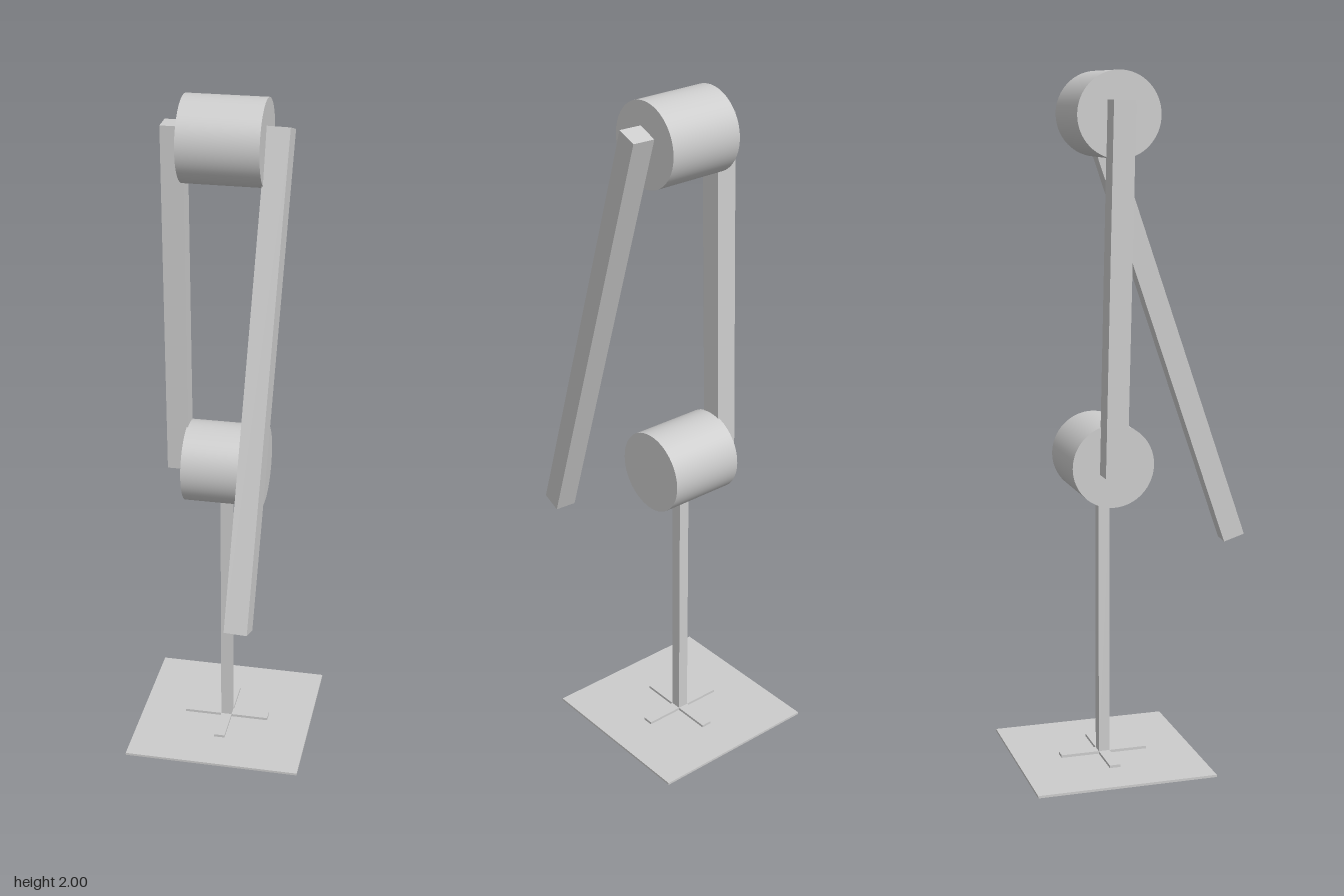
import * as THREE from 'three';

const YAW = -0.718; // the stand and drums are turned about the vertical
const CENTRE_Z = -0.044;

export function createModel() {
  const model = new THREE.Group();
  const grey = new THREE.MeshStandardMaterial({ color: 0xcccccc });
  grey.name = 'light grey';

  function add(name, geometry, parent = model) {
    const mesh = new THREE.Mesh(geometry, grey);
    mesh.name = name;
    parent.add(mesh);
    return mesh;
  }

  // Square plate, flat cross and post
  const stand = new THREE.Group();
  stand.name = 'stand';
  stand.position.z = CENTRE_Z;
  stand.rotation.y = YAW;
  model.add(stand);
  const block = (name, w, h, d, y) => {
    add(name, new THREE.BoxGeometry(w, h, d), stand).position.y = y + h / 2;
  };
  block('basePlate', 0.531, 0.007, 0.531, 0);
  block('crossFootA', 0.262, 0.008, 0.033, 0.007);
  block('crossFootB', 0.033, 0.008, 0.262, 0.007);
  block('post', 0.033, 0.79, 0.033, 0.007);

  // Horizontal drums at the two joints
  function drum(name, x, y, z) {
    const geometry = new THREE.CylinderGeometry(0.12, 0.12, 0.228, 64);
    geometry.rotateZ(Math.PI / 2);
    const mesh = add(name, geometry);
    mesh.position.set(x, y, z);
    mesh.rotation.y = YAW;
  }
  drum('lowerJoint', 0, 0.902, CENTRE_Z);
  drum('upperJoint', -0.01, 1.88, -0.03);

  // Square bars between two end points, with one side kept level
  function arm(name, top, bottom, width, yaw) {
    const a = new THREE.Vector3(...top), b = new THREE.Vector3(...bottom);
    const up = a.clone().sub(b);
    const length = up.length();
    up.normalize();
    const side = new THREE.Vector3(Math.cos(yaw), 0, -Math.sin(yaw));
    side.addScaledVector(up, -side.dot(up)).normalize();
    const depth = side.clone().cross(up);
    const mesh = add(name, new THREE.BoxGeometry(width, length, width));
    mesh.quaternion.setFromRotationMatrix(new THREE.Matrix4().makeBasis(side, up, depth));
    mesh.position.copy(a).add(b).multiplyScalar(0.5);
  }
  arm('upperArm', [-0.116, 1.92, -0.126], [-0.101, 0.88, -0.144], 0.063, YAW);
  arm('forearm', [0.111, 1.92, 0.0575], [-0.2025, 0.61, 0.37], 0.066, -Math.PI / 4);

  return model;
}
